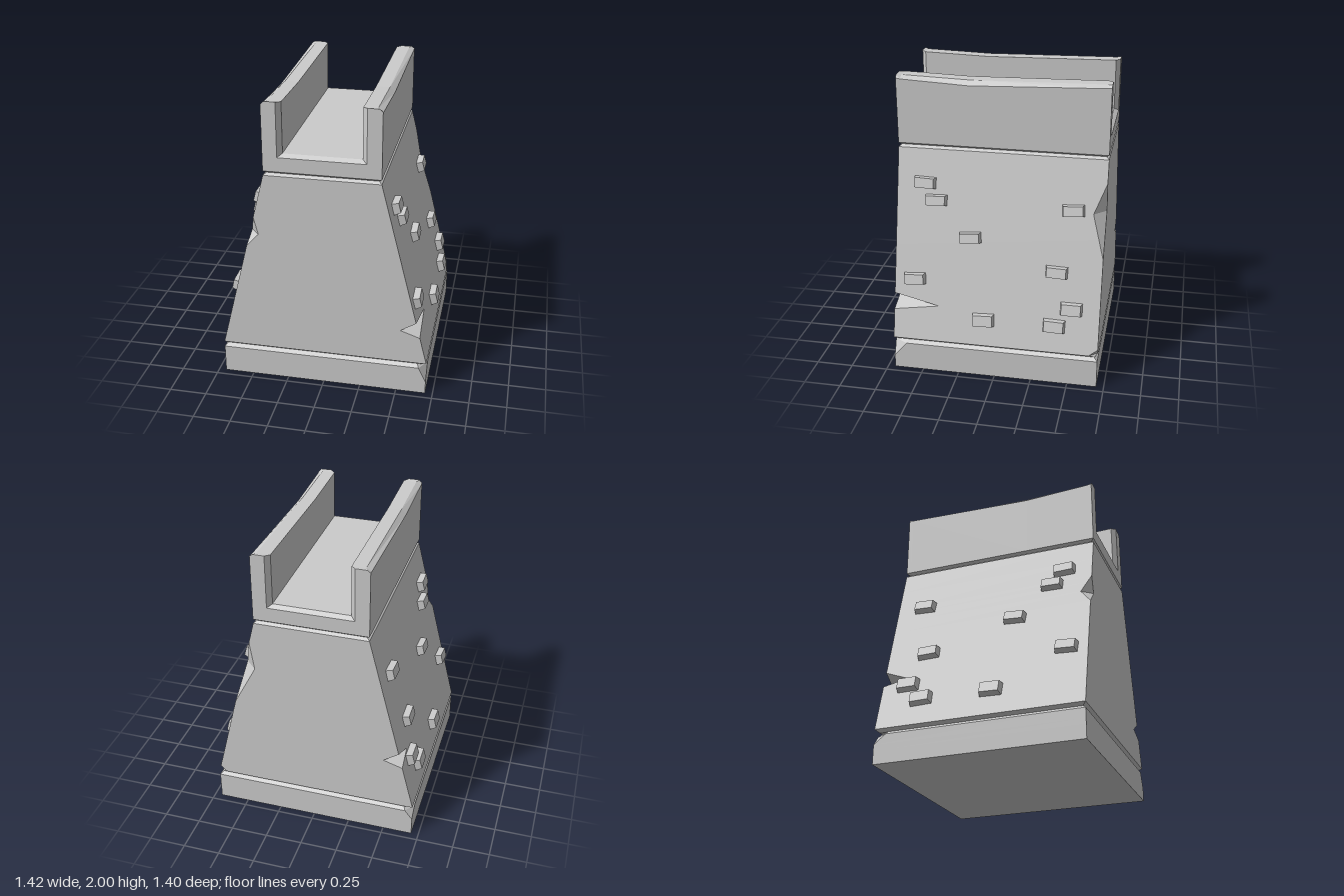
import * as THREE from 'three';

const material = new THREE.MeshStandardMaterial({ color: 0xcccccc, flatShading: true, side: THREE.DoubleSide });

// Joins counter-clockwise 2D outlines stacked along local z, and caps both ends.
function loft(outlines, heights) {
  const positions = [];
  const triangle = (a, b, c) => {
    const area = new THREE.Triangle(a, b, c).getArea();
    if (area > 1e-8) for (const p of [a, b, c]) positions.push(p.x, p.y, p.z);
  };
  const rings = outlines.map((outline, k) => outline.map(([x, y]) => new THREE.Vector3(x, y, heights[k])));
  for (let k = 0; k < rings.length - 1; k++) {
    const lower = rings[k], upper = rings[k + 1], n = lower.length;
    for (let i = 0; i < n; i++) {
      const j = (i + 1) % n;
      triangle(lower[i], lower[j], upper[j]);
      triangle(lower[i], upper[j], upper[i]);
    }
  }
  const cap = (ring, flip) => {
    const contour = ring.map((p) => new THREE.Vector2(p.x, p.y));
    for (const [a, b, c] of THREE.ShapeUtils.triangulateShape(contour, [])) {
      if (flip) triangle(ring[a], ring[c], ring[b]);
      else triangle(ring[a], ring[b], ring[c]);
    }
  };
  cap(rings[0], true);
  cap(rings[rings.length - 1], false);
  const geometry = new THREE.BufferGeometry();
  geometry.setAttribute('position', new THREE.Float32BufferAttribute(positions, 3));
  geometry.computeVertexNormals();
  return geometry;
}

function add(parent, geometry, name) {
  const mesh = new THREE.Mesh(geometry, material);
  mesh.name = name;
  parent.add(mesh);
  return mesh;
}

// Stone block with rectangular levels [y, halfX, halfZ] and chips broken out of its corners.
// A chip opens from `from`, is widest at `mid` and closes at `to`.
function chippedBlock(levels, chips) {
  const last = levels[levels.length - 1][0];
  const ys = [...new Set([...levels.map((l) => l[0]), ...chips.flatMap((c) => [c.from, c.mid, c.to])])]
    .filter((y) => y <= last).sort((a, b) => a - b);
  const halfSizes = (y) => {
    const i = Math.max(1, levels.findIndex((l) => l[0] >= y));
    const [a, b] = [levels[i - 1], levels[i]];
    const t = (y - a[0]) / (b[0] - a[0]);
    return [a[1] + (b[1] - a[1]) * t, a[2] + (b[2] - a[2]) * t];
  };
  const outlines = ys.map((y) => {
    const [hx, hz] = halfSizes(y);
    return [[1, -1], [-1, -1], [-1, 1], [1, 1]].flatMap(([sx, sz]) => {
      let cx = 0, cz = 0;
      for (const c of chips) {
        if (c.sx !== sx || c.sz !== sz || y <= c.from || y >= c.to) continue;
        const t = y <= c.mid ? (y - c.from) / (c.mid - c.from) : (c.to - y) / (c.to - c.mid);
        cx += c.cx * t;
        cz += c.cz * t;
      }
      const onSide = [sx * hx, -sz * (hz - cz)];
      const onFront = [sx * (hx - cx), -sz * hz];
      return sx * sz < 0 ? [onSide, onFront] : [onFront, onSide];
    });
  });
  return loft(outlines, ys).rotateX(-Math.PI / 2);
}

// U-shaped cross-section of the trough: inner half width, floor, shoulder and rim heights, rim half width.
function troughOutline(inner, floor, shoulder, rim, rimX) {
  const right = [[0.38, 1.54], [0.38, shoulder], [rimX, rim], [inner, rim], [inner, floor]];
  return [...right, ...right.map(([x, y]) => [-x, y]).reverse()];
}

// Brick whose outward (+x) face is smaller than its root.
function brickGeometry(height, length) {
  const geometry = new THREE.BoxGeometry(0.09, height, length);
  const p = geometry.attributes.position;
  for (let i = 0; i < p.count; i++) {
    if (p.getX(i) > 0) p.setXYZ(i, p.getX(i), p.getY(i) * 0.74, p.getZ(i) * 0.78);
  }
  geometry.computeVertexNormals();
  return geometry;
}

export function createModel() {
  const model = new THREE.Group();
  model.name = 'stoneTroughPillar';

  // Square plinth with a narrow neck
  add(model, chippedBlock(
    [[0, 0.7, 0.7], [0.195, 0.7, 0.7], [0.218, 0.675, 0.675]],
    [
      { sx: 1, sz: 1, from: 0.09, mid: 0.195, to: 0.3, cx: 0.05, cz: 0.09 },
      { sx: -1, sz: -1, from: 0.13, mid: 0.195, to: 0.3, cx: 0.05, cz: 0.08 },
    ],
  ), 'plinth');

  // Tapering body, with a groove below the trough
  add(model, chippedBlock(
    [[0.215, 0.675, 0.675], [0.235, 0.7, 0.7], [1.51, 0.38, 0.7], [1.525, 0.36, 0.68], [1.54, 0.38, 0.7]],
    [
      { sx: 1, sz: 1, from: 0.43, mid: 0.475, to: 0.54, cx: 0.12, cz: 0.31 },
      { sx: 1, sz: -1, from: 0.87, mid: 1.16, to: 1.36, cx: 0.08, cz: 0.08 },
      { sx: -1, sz: 1, from: 1.0, mid: 1.09, to: 1.21, cx: 0.06, cz: 0.07 },
      { sx: -1, sz: -1, from: 0.56, mid: 0.6, to: 0.67, cx: 0.12, cz: 0.17 },
      { sx: 1, sz: -1, from: 0.22, mid: 0.235, to: 0.28, cx: 0.05, cz: 0.06 },
    ],
  ), 'taperedBody');

  // Open trough with worn, sagging rims and bevelled ends
  add(model, loft([
    troughOutline(0.285, 1.637, 1.985, 2.0, 0.36),
    troughOutline(0.255, 1.657, 1.982, 1.998, 0.345),
    troughOutline(0.255, 1.657, 1.953, 1.982, 0.345),
    troughOutline(0.255, 1.657, 1.975, 1.995, 0.345),
    troughOutline(0.285, 1.637, 1.98, 2.0, 0.36),
  ], [-0.7, -0.67, 0.22, 0.67, 0.7]), 'trough');

  // Protruding bricks on both sloping sides: z, y, height, tilt
  const bricks = [
    [0.51, 1.29, 0.09, -0.03], [0.43, 1.18, 0.085, 0.03], [0.19, 0.95, 0.085, 0.08],
    [0.56, 0.65, 0.09, 0.07], [0.08, 0.41, 0.1, 0.04], [-0.49, 1.175, 0.09, 0.06],
    [-0.4, 0.77, 0.09, -0.03], [-0.51, 0.535, 0.1, 0], [-0.4, 0.415, 0.1, -0.03],
  ];
  const slope = Math.atan2(0.32, 1.275);
  for (const side of [1, -1]) {
    const group = new THREE.Group();
    group.name = side > 0 ? 'leftBricks' : 'rightBricks';
    group.rotation.y = side > 0 ? 0 : Math.PI;
    for (const [z, y, height, tilt] of bricks) {
      const brick = add(group, brickGeometry(height, 0.165), 'brick');
      brick.position.set(0.7 - (y - 0.235) * Math.tan(slope), y, z * side);
      brick.rotation.set(tilt * side, 0, slope, 'ZXY');
    }
    model.add(group);
  }
  return model;
}
